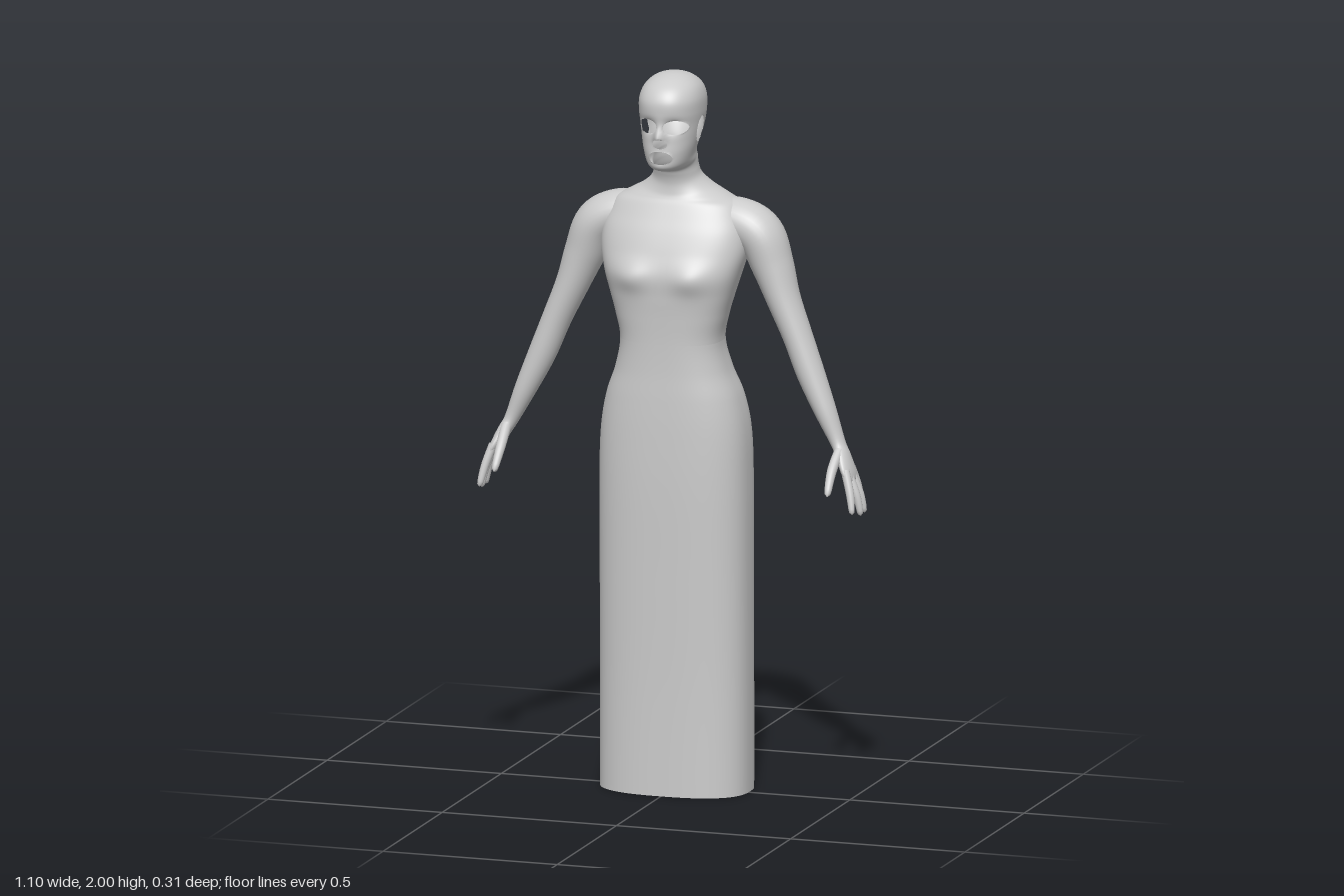
import * as THREE from 'three';

const material = new THREE.MeshStandardMaterial({ color: 0xcccccc, side: THREE.DoubleSide });
const bell = (d, w) => Math.exp(-((d / w) ** 2));

// Cross-sections from hem to crown: [y front, y back, half width, z front, z back, squareness]
const gownRows = [
  [0, 0, 0.21, 0.125, -0.152, 2.6],
  [0.3, 0.3, 0.21, 0.125, -0.152, 2.6],
  [0.6, 0.6, 0.21, 0.13, -0.152, 2.6],
  [0.85, 0.85, 0.21, 0.135, -0.153, 2.6],
  [1.0, 1.0, 0.205, 0.135, -0.15, 2.6],
  [1.1, 1.1, 0.187, 0.133, -0.134, 2.6],
  [1.18, 1.18, 0.158, 0.13, -0.108, 2.6],
  [1.26, 1.26, 0.142, 0.13, -0.086, 2.6],
];
const torsoRows = [
  [1.33, 1.33, 0.155, 0.133, -0.083, 2.6],
  [1.39, 1.39, 0.172, 0.137, -0.092, 2.6],
  [1.45, 1.45, 0.19, 0.138, -0.106, 2.6],
  [1.51, 1.51, 0.205, 0.12, -0.12, 2.5],
  [1.56, 1.56, 0.205, 0.1, -0.126, 2.5],
  [1.6, 1.6, 0.195, 0.08, -0.125, 2.4],
  [1.635, 1.635, 0.175, 0.062, -0.116, 2.3],
  [1.65, 1.66, 0.14, 0.053, -0.108, 2.2],
  [1.665, 1.69, 0.098, 0.048, -0.092, 2.1],
  [1.69, 1.72, 0.07, 0.046, -0.073, 2],
];
const headRows = [
  [1.715, 1.75, 0.062, 0.052, -0.063, 2],
  [1.733, 1.775, 0.061, 0.064, -0.062, 2],
  [1.737, 1.79, 0.062, 0.1, -0.064, 2],
  [1.75, 1.81, 0.064, 0.13, -0.069, 2.1],
  [1.785, 1.835, 0.072, 0.136, -0.078, 2.2],
  [1.825, 1.855, 0.079, 0.134, -0.088, 2.2],
  [1.865, 1.875, 0.084, 0.134, -0.094, 2.2],
  [1.9, 1.9, 0.087, 0.14, -0.098, 2.2],
  [1.935, 1.935, 0.086, 0.138, -0.095, 2.2],
  [1.965, 1.965, 0.075, 0.119, -0.078, 2.1],
  [1.986, 1.986, 0.053, 0.086, -0.046, 2],
  [1.997, 1.997, 0.026, 0.05, -0.01, 2],
  [2, 2, 0, 0.02, 0.02, 2],
];
const bodyRows = [...gownRows, ...torsoRows, ...headRows];

// Openings of the face: centre and radii across and up
const faceHoles = [
  { name: 'eye', side: 1, c: 0.039, y: 1.865, rc: 0.031, ry: 0.02 },
  { name: 'eye', side: -1, c: -0.039, y: 1.865, rc: 0.031, ry: 0.02 },
  { name: 'nostrils', c: 0, y: 1.82, rc: 0.021, ry: 0.014 },
  { name: 'mouth', c: 0, y: 1.781, rc: 0.034, ry: 0.018 },
];
const earHole = { name: 'ear', c: 0.026, y: 1.847, rc: 0.025, ry: 0.037 };

// Smooth interpolation of number rows at a fractional row index
function sampleRows(rows, t) {
  const i = Math.min(Math.floor(t), rows.length - 2), f = t - i;
  const at = (k) => rows[Math.max(0, Math.min(rows.length - 1, k))];
  return rows[i].map((p1, k) => {
    const p0 = at(i - 1)[k], p2 = at(i + 1)[k], p3 = at(i + 2)[k];
    return p1 + 0.5 * f * (p2 - p0 + f * (2 * p0 - 5 * p1 + 4 * p2 - p3 + f * (3 * (p1 - p2) + p3 - p0)));
  });
}

// Closed-around surface of rings; vertices inside a hole snap to its rim
function ringSurface(around, rings, pointAt, holeAt = () => null) {
  const positions = [], inside = [], index = [];
  for (let j = 0; j <= rings; j++) {
    for (let i = 0; i < around; i++) {
      const p = pointAt((i / around) * Math.PI * 2, j / rings);
      inside.push(holeAt(p));
      positions.push(p.x, p.y, p.z);
    }
  }
  const addFace = (...face) => {
    if (!face.every((v) => inside[v] && inside[v] === inside[face[0]])) index.push(...face);
  };
  for (let j = 0; j < rings; j++) {
    for (let i = 0; i < around; i++) {
      const a = j * around + i, b = j * around + ((i + 1) % around);
      addFace(a, a + around, b);
      addFace(b, a + around, b + around);
    }
  }
  const geometry = new THREE.BufferGeometry();
  geometry.setAttribute('position', new THREE.Float32BufferAttribute(positions, 3));
  geometry.setIndex(index);
  geometry.computeVertexNormals();
  return geometry;
}

// Point on the body, with bust, spine, eye sockets and nose worked in
function bodyPoint(angle, t) {
  const [yf, yb, hw, zf, zb, n] = sampleRows(bodyRows, t);
  const c = Math.cos(angle), s = Math.sin(angle);
  const power = (v) => Math.sign(v) * Math.abs(v) ** (2 / n);
  const x = hw * power(c);
  const y = THREE.MathUtils.lerp(yb, yf, (1 + s) / 2);
  let z = (zf + zb) / 2 + ((zf - zb) / 2) * power(s);
  if (s > 0) {
    const ax = Math.abs(x), noseY = y - 1.836;
    z += 0.015 * bell(ax - 0.085, 0.05) * bell(y - 1.445, 0.04);
    z -= 0.01 * bell(ax - 0.036, 0.022) * bell(y - 1.867, 0.02);
    z += 0.022 * bell(x, 0.015) * bell(noseY, noseY > 0 ? 0.03 : 0.011);
    z += 0.005 * bell(x, 0.03) * bell(y - 1.755, 0.015);
  } else {
    z += 0.012 * bell(x, 0.03) * bell(y - 1.44, 0.13);
  }
  return new THREE.Vector3(x, y, z);
}

// Finds the opening a head point lies in and moves the point to its rim
function headHole(p) {
  const snap = (hole, axis) => {
    const d = Math.hypot((p[axis] - hole.c) / hole.rc, (p.y - hole.y) / hole.ry);
    if (d >= 1) return false;
    const k = 1 / Math.max(d, 0.01);
    p[axis] = hole.c + (p[axis] - hole.c) * k;
    p.y = hole.y + (p.y - hole.y) * k;
    return true;
  };
  if (p.z > 0.07) return faceHoles.find((hole) => snap(hole, 'x')) ?? null;
  const side = p.x > 0 ? 'left ear' : 'right ear';
  return Math.abs(p.x) > 0.03 && snap(earHole, 'z') ? side : null;
}

function bodyPart(name, from, to, holeAt) {
  const surface = (a, v) => bodyPoint(a, from + (to - from) * v);
  const mesh = new THREE.Mesh(ringSurface(112, (to - from) * 8, surface, holeAt), material);
  mesh.name = name;
  return mesh;
}

// Rounded limb through rows of [x, y, z, radius across, radius along z]
function limb(name, rows, side, around = 16) {
  const last = rows.length - 1;
  const centre = (t) => {
    const [x, y, z] = sampleRows(rows, t);
    return new THREE.Vector3(x * side, y, z);
  };
  const geometry = ringSurface(around, last * 6, (angle, v) => {
    const t = v * last;
    const [, , , ra, rz] = sampleRows(rows, t);
    const tangent = centre(Math.min(last, t + 0.05)).sub(centre(Math.max(0, t - 0.05))).normalize();
    const across = tangent.clone().cross(new THREE.Vector3(0, 0, 1)).normalize();
    const along = across.clone().cross(tangent);
    const tip = Math.sqrt(Math.max(0, 1 - v ** (last * 8)));
    return centre(t)
      .addScaledVector(across, Math.cos(angle) * ra * tip)
      .addScaledVector(along, Math.sin(angle) * rz * tip);
  });
  const mesh = new THREE.Mesh(geometry, material);
  mesh.name = name;
  return mesh;
}

// Shoulder, arm and palm in one sweep
const armRows = [
  [0.09, 1.59, -0.035, 0.055, 0.06],
  [0.17, 1.585, -0.035, 0.062, 0.072],
  [0.232, 1.55, -0.033, 0.064, 0.075],
  [0.268, 1.47, -0.03, 0.057, 0.066],
  [0.302, 1.38, -0.022, 0.046, 0.055],
  [0.345, 1.28, -0.015, 0.04, 0.047],
  [0.385, 1.18, -0.008, 0.038, 0.042],
  [0.43, 1.08, 0, 0.03, 0.034],
  [0.468, 0.995, 0.005, 0.02, 0.025],
  [0.487, 0.96, 0.015, 0.018, 0.034],
  [0.506, 0.92, 0.025, 0.015, 0.044],
  [0.518, 0.895, 0.027, 0.009, 0.04],
];
const digits = {
  thumb: [[0.478, 0.975, 0.025, 0.014, 0.016], [0.475, 0.93, 0.08, 0.013, 0.014], [0.478, 0.87, 0.128, 0.009, 0.009]],
  indexFinger: [[0.505, 0.93, 0.054, 0.012, 0.012], [0.524, 0.87, 0.07, 0.011, 0.011], [0.535, 0.815, 0.084, 0.008, 0.008]],
  middleFinger: [[0.507, 0.92, 0.036, 0.012, 0.012], [0.532, 0.86, 0.038, 0.011, 0.011], [0.544, 0.803, 0.037, 0.008, 0.008]],
  ringFinger: [[0.507, 0.92, 0.014, 0.012, 0.012], [0.532, 0.86, 0.009, 0.011, 0.011], [0.544, 0.805, 0.004, 0.008, 0.008]],
  littleFinger: [[0.503, 0.93, -0.004, 0.011, 0.011], [0.518, 0.88, -0.015, 0.01, 0.01], [0.527, 0.833, -0.024, 0.007, 0.007]],
};

export function createModel() {
  const model = new THREE.Group();
  model.name = 'gownFigure';
  const neck = gownRows.length + torsoRows.length;
  const waist = gownRows.length - 1;
  model.add(
    bodyPart('gown', 0, waist),
    bodyPart('torso', waist, neck),
    bodyPart('head', neck, bodyRows.length - 1, headHole),
  );
  for (const [side, label] of [[1, 'left'], [-1, 'right']]) {
    const arm = new THREE.Group();
    arm.name = `${label}Arm`;
    arm.add(limb('armAndPalm', armRows, side, 32));
    for (const [name, rows] of Object.entries(digits)) arm.add(limb(name, rows, side));
    model.add(arm);
  }
  return model;
}
